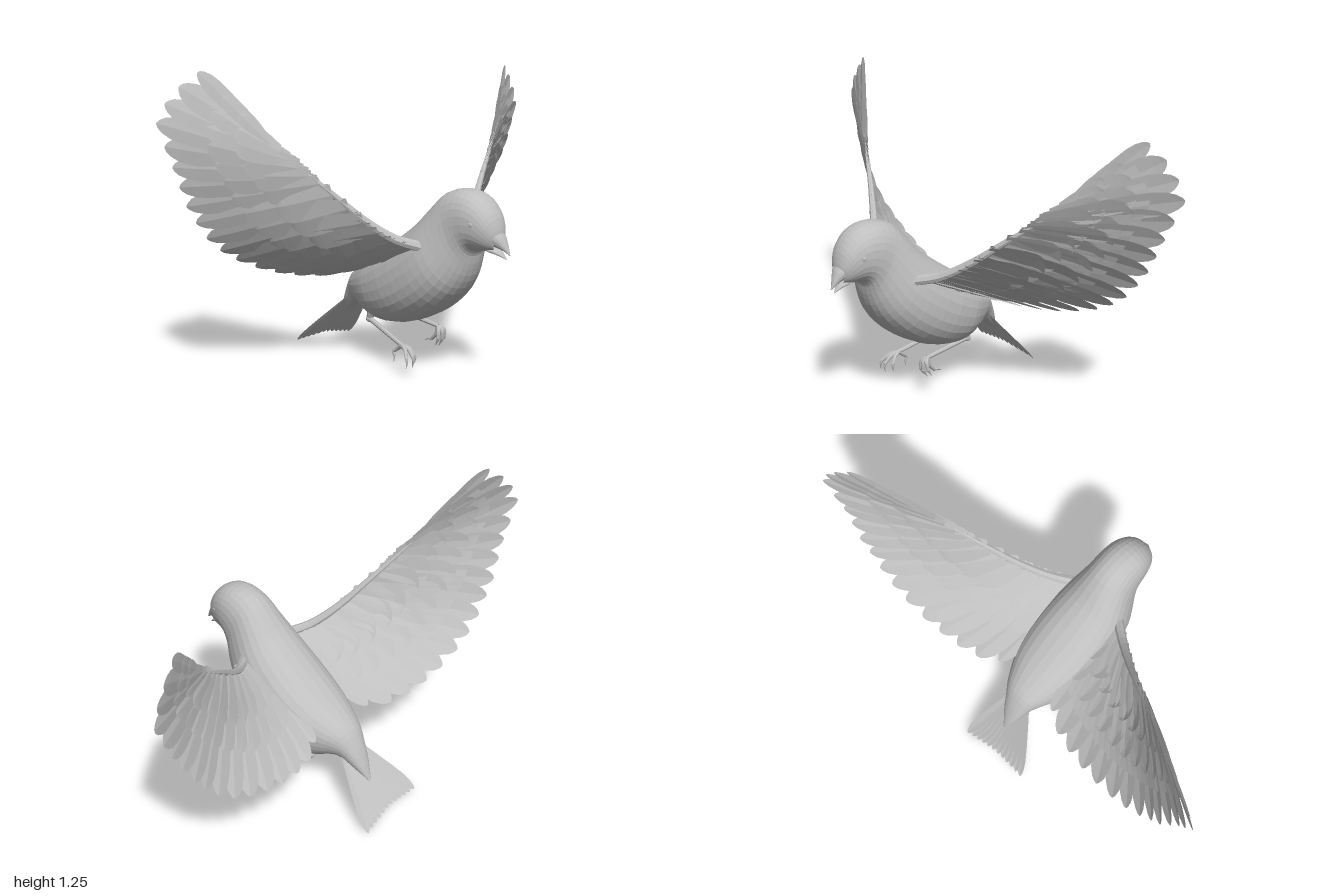
import * as THREE from 'three';

const V = (x, y, z) => new THREE.Vector3(x, y, z);
const plumage = new THREE.MeshStandardMaterial({ color: 0xbfbfbf, flatShading: true, side: THREE.DoubleSide });
plumage.name = 'pale grey';

function part(name, geometry) {
  const m = new THREE.Mesh(geometry, plumage);
  m.name = name;
  return m;
}

// Surface through a grid of rows of points
function grid(rows) {
  const n = rows[0].length, index = [];
  for (let i = 0; i < rows.length - 1; i++) for (let j = 0; j < n - 1; j++) {
    const a = i * n + j, c = a + n;
    index.push(a, a + 1, c, a + 1, c + 1, c);
  }
  const g = new THREE.BufferGeometry().setFromPoints(rows.flat());
  g.setIndex(index);
  g.computeVertexNormals();
  return g;
}

// Skin over cross-sections [topZ, topY, bottomZ, bottomY, halfWidth, centreX], running front to back
function loft(sections, rings, sides = 28, power = 0.9) {
  const curve = (k) => new THREE.CatmullRomCurve3(sections.map(s => V(s[k], s[k + 1], s[k + 2])));
  const a = curve(0), b = curve(3), rows = [];
  for (let i = 0; i <= rings; i++) {
    const p = a.getPoint(i / rings), q = b.getPoint(i / rings), row = [];
    // p = (topZ, topY, bottomZ), q = (bottomY, halfWidth, centreX)
    for (let j = 0; j <= sides; j++) {
      const t = j / sides * Math.PI * 2, c = Math.cos(t), s = Math.sin(t);
      const k = (1 + Math.sign(c) * Math.abs(c) ** power) / 2;
      row.push(V(q.z + q.y * Math.sign(s) * Math.abs(s) ** power,
        THREE.MathUtils.lerp(q.x, p.y, k), THREE.MathUtils.lerp(p.z, p.x, k)));
    }
    rows.push(row);
  }
  return grid(rows);
}

// Tapering tube along a few points
function taper(points, r0, r1, steps = 12, sides = 8) {
  const curve = new THREE.CatmullRomCurve3(points);
  const g = new THREE.TubeGeometry(curve, steps, 1, sides);
  const pos = g.attributes.position, v = V(0, 0, 0);
  for (let i = 0; i < pos.count; i++) {
    const t = Math.floor(i / (sides + 1)) / steps, c = curve.getPointAt(t);
    v.fromBufferAttribute(pos, i).sub(c).multiplyScalar(THREE.MathUtils.lerp(r0, r1, t)).add(c);
    pos.setXYZ(i, v.x, v.y, v.z);
  }
  g.computeVertexNormals();
  return g;
}

// Thin cambered feather; across points along its width
const OUTLINE = [[0, 0.45], [0.3, 0.75], [0.6, 0.97], [0.78, 1], [0.88, 0.86], [0.95, 0.58], [0.985, 0.3], [1, 0.06]];
function feather(root, tip, width, across) {
  const dir = tip.clone().sub(root).normalize();
  const side = across.clone().addScaledVector(dir, -across.dot(dir)).normalize();
  const up = dir.clone().cross(side);
  side.addScaledVector(up, 0.08);
  return grid(OUTLINE.map(([t, w]) => [-1, 0, 1].map(s => root.clone().lerp(tip, t)
    .addScaledVector(side, s * w * width / 2).addScaledVector(up, s ? 0 : 0.05 * width * w))));
}

// Wing points are given for the right wing; the left is mirrored and lowered by a slight bank
const AXIS = -0.035;
function wing(name, left) {
  const place = ([x, y, z]) => {
    if (!left) return V(x, y, z);
    return V(AXIS - x, y - 0.5, z).applyAxisAngle(V(0, 0, 1), -0.105).add(V(AXIS, 0.5, 0));
  };
  const lead = new THREE.CatmullRomCurve3([[-0.15, 0.55, 0.19], [-0.27, 0.605, 0.1], [-0.4, 0.735, 0.01],
    [-0.55, 0.885, -0.08], [-0.7, 1.05, -0.175], [-0.845, 1.25, -0.29]].map(place));
  const tips = new THREE.CatmullRomCurve3([[-0.845, 1.25, -0.29], [-0.912, 1.2, -0.315], [-0.967, 1.14, -0.33],
    [-1, 1.07, -0.34], [-0.972, 0.98, -0.335], [-0.945, 0.9, -0.33], [-0.915, 0.82, -0.335], [-0.88, 0.74, -0.345],
    [-0.84, 0.67, -0.345], [-0.79, 0.6, -0.35], [-0.725, 0.54, -0.355], [-0.65, 0.49, -0.355], [-0.56, 0.445, -0.35],
    [-0.47, 0.41, -0.34], [-0.38, 0.385, -0.325], [-0.29, 0.37, -0.3], [-0.2, 0.375, -0.25]].map(place));
  const rootAt = f => lead.getPoint(f < 0.45 ? 0.72 - 0.22 * f / 0.45 : 0.5 * (1 - f) / 0.55);
  const normal = rootAt(0.5).sub(tips.getPoint(0.5)).cross(tips.getPoint(0.3).sub(tips.getPoint(0.7))).normalize();
  const group = new THREE.Group();
  group.name = name;

  // Flight feathers, then two shorter rows of coverts on each face
  const rows = [['flightFeather', 17, 1, 1.2, 0], ['greaterCovert', 15, 0.66, 1.5, 0.004], ['greaterCovert', 15, 0.66, 1.5, -0.004],
    ['lesserCovert', 13, 0.42, 1.7, 0.007], ['lesserCovert', 13, 0.42, 1.7, -0.007]];
  for (const [label, count, length, spread, lift] of rows) for (let i = 0; i < count; i++) {
    const f = i / (count - 1), df = 0.5 / (count - 1);
    const end = t => rootAt(t).lerp(tips.getPoint(t), length);
    const across = end(Math.min(1, f + df)).sub(end(Math.max(0, f - df)));
    const width = across.length() * spread * (i && i < count - 1 ? 1 : 1.3);
    const off = normal.clone().multiplyScalar(lift);
    group.add(part(label, feather(rootAt(f).add(off), end(f).add(off), width, across)));
  }

  // Continuous web behind the feathers
  const web = [];
  for (let i = 0; i <= 32; i++) {
    const f = i / 32;
    web.push([0, 0.25, 0.5, 0.75].map(t => rootAt(f).lerp(tips.getPoint(f), t)));
  }
  group.add(part('wingWeb', grid(web)));

  // Rounded arm along the leading edge
  const arm = [0, 0.15, 0.3, 0.45, 0.6, 0.75].map(u => lead.getPoint(u));
  group.add(part('wingArm', taper(arm, 0.022, 0.004, 20)));
  return group;
}

// Leg with three front toes, a hind toe and hooked claws
function leg(name, ankle, foot, toes) {
  const group = new THREE.Group();
  group.name = name;
  const joint = part('ankle', new THREE.SphereGeometry(0.016, 10, 8));
  joint.position.copy(ankle);
  group.add(joint, part('thigh', taper([ankle.clone().add(V(0, 0.06, 0.02)), ankle], 0.025, 0.013, 4)),
    part('shank', taper([ankle, ankle.clone().lerp(foot, 0.5), foot], 0.011, 0.009)));
  for (const [mid, end, claw] of toes) {
    const at = p => foot.clone().add(V(...p));
    group.add(part('toe', taper([foot, at(mid), at(end)], 0.01, 0.007)));
    const bend = at(end).lerp(at(claw), 0.5).add(V(0, 0.006, 0.004));
    group.add(part('claw', taper([at(end), bend, at(claw)], 0.007, 0.001, 6, 6)));
  }
  return group;
}

export function createModel() {
  const bird = new THREE.Group();
  bird.name = 'bird';

  // Head, breast, back and rump in one skin
  bird.add(part('body', loft([
    [0.482, 0.615, 0.46, 0.565, 0.028, -0.022], [0.476, 0.655, 0.435, 0.56, 0.052, -0.025],
    [0.458, 0.705, 0.415, 0.558, 0.07, -0.027], [0.42, 0.752, 0.395, 0.556, 0.084, -0.028],
    [0.37, 0.78, 0.372, 0.55, 0.094, -0.028], [0.3, 0.787, 0.358, 0.53, 0.1, -0.028],
    [0.22, 0.762, 0.35, 0.49, 0.107, -0.03], [0.16, 0.705, 0.33, 0.43, 0.126, -0.032],
    [0.1, 0.64, 0.29, 0.365, 0.15, -0.035], [0.03, 0.585, 0.22, 0.295, 0.165, -0.035],
    [-0.05, 0.53, 0.12, 0.232, 0.171, -0.035], [-0.12, 0.485, 0.02, 0.192, 0.166, -0.036],
    [-0.19, 0.44, -0.08, 0.175, 0.15, -0.038], [-0.25, 0.4, -0.16, 0.182, 0.12, -0.042],
    [-0.3, 0.36, -0.22, 0.212, 0.09, -0.046], [-0.335, 0.305, -0.26, 0.225, 0.066, -0.05],
    [-0.37, 0.23, -0.32, 0.195, 0.042, -0.055], [-0.402, 0.145, -0.4, 0.138, 0.006, -0.06]], 40)));

  // Parted beak
  bird.add(part('upperBeak', loft([[0.518, 0.553, 0.517, 0.55, 0.002, -0.01], [0.505, 0.587, 0.492, 0.567, 0.016, -0.014],
    [0.482, 0.632, 0.455, 0.58, 0.038, -0.022], [0.465, 0.64, 0.43, 0.58, 0.045, -0.025]], 9, 14)));
  bird.add(part('lowerBeak', loft([[0.502, 0.536, 0.5, 0.533, 0.002, -0.012], [0.478, 0.561, 0.472, 0.546, 0.018, -0.018],
    [0.445, 0.58, 0.435, 0.556, 0.034, -0.024]], 7, 14)));

  for (const s of [-1, 1]) {
    const eye = part(s > 0 ? 'leftEye' : 'rightEye', new THREE.SphereGeometry(0.016, 12, 8));
    eye.position.set(-0.028 + s * 0.073, 0.668, 0.4);
    bird.add(eye);
  }

  bird.add(wing('rightWing', false), wing('leftWing', true));

  // Notched tail fan
  const tail = new THREE.Group();
  tail.name = 'tail';
  for (let i = 0; i < 12; i++) {
    const f = i / 11, notch = 1 - Math.abs(2 * f - 1);
    const root = V(-0.075 + 0.06 * f, 0.285, -0.27);
    const tip = V(-0.243 + 0.312 * f, 0.038 - 0.033 * f + 0.02 * notch, -0.492 - 0.022 * f + 0.012 * notch);
    tail.add(part('tailFeather', feather(root, tip, 0.045, V(1, -0.08, -0.06))));
  }
  bird.add(tail);

  // Legs reaching forward under the belly
  bird.add(leg('rightLeg', V(-0.125, 0.183, -0.155), V(-0.155, 0.125, 0.07), [
    [[-0.015, -0.008, 0.035], [-0.035, -0.035, 0.065], [-0.038, -0.075, 0.065]],
    [[0, -0.008, 0.04], [-0.004, -0.035, 0.07], [-0.006, -0.078, 0.068]],
    [[0.014, -0.01, 0.03], [0.024, -0.035, 0.05], [0.026, -0.07, 0.048]],
    [[0, -0.02, -0.025], [-0.004, -0.035, -0.045], [-0.004, -0.08, -0.042]]]));
  bird.add(leg('leftLeg', V(0.035, 0.19, -0.15), V(0.045, 0.165, 0.08), [
    [[-0.014, -0.012, 0.015], [-0.02, -0.045, 0.02], [-0.02, -0.08, 0.002]],
    [[0, -0.015, 0.02], [0.002, -0.05, 0.022], [0.002, -0.085, 0]],
    [[0.014, -0.012, 0.015], [0.022, -0.045, 0.015], [0.022, -0.075, -0.005]],
    [[0, -0.035, -0.012], [0, -0.065, -0.04], [0, -0.078, -0.078]]]));
  return bird;
}
